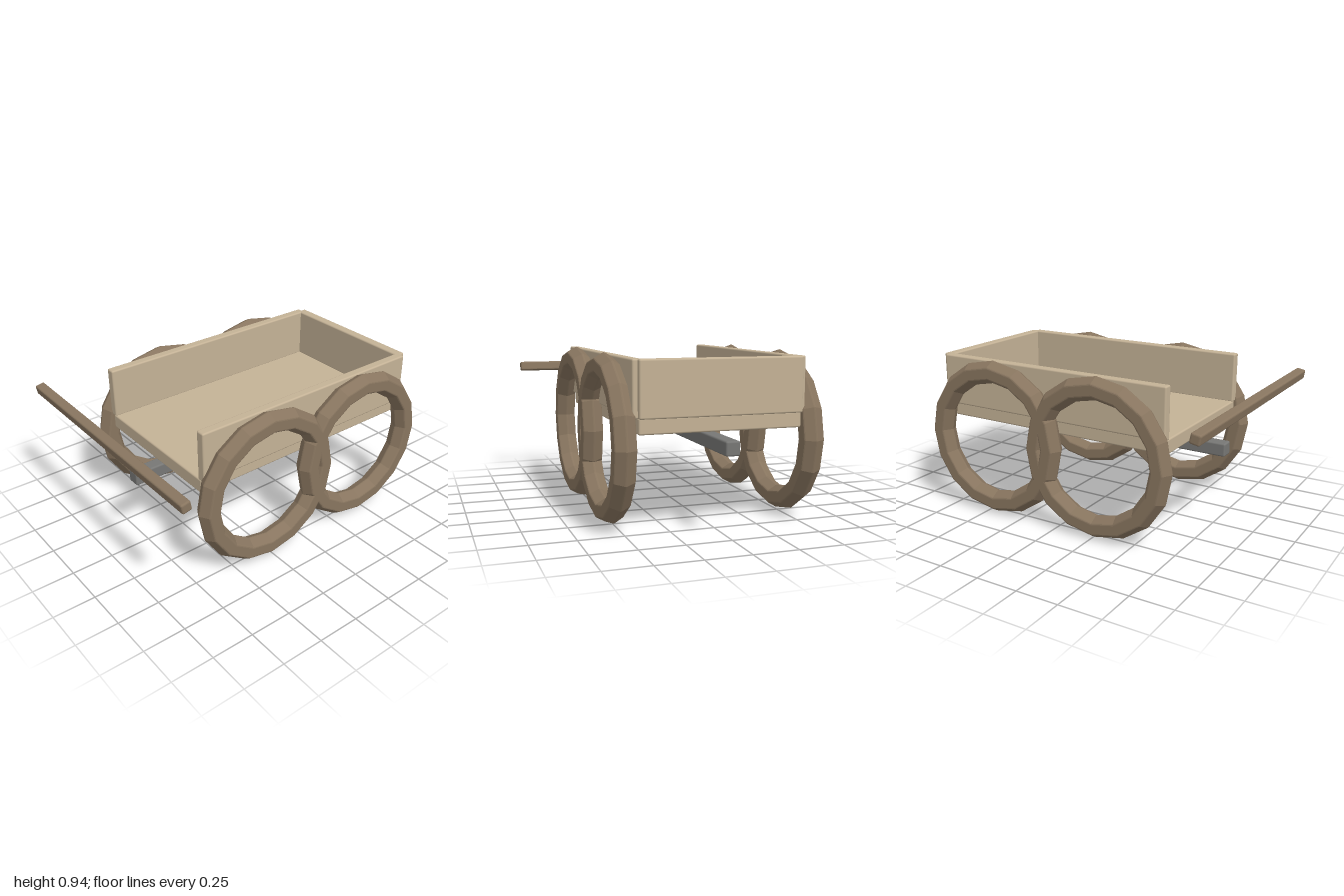
import * as THREE from 'three';
import { RoundedBoxGeometry } from 'three/addons/geometries/RoundedBoxGeometry.js';

const lightWood = new THREE.MeshStandardMaterial({ color: 0xc4b296 });
const darkWood = new THREE.MeshStandardMaterial({ color: 0x88755f, flatShading: true });
const metal = new THREE.MeshStandardMaterial({ color: 0x777775 });

// Box with softened edges, given by its extents on each axis
function beam(name, material, [x0, x1], [y0, y1], [z0, z1]) {
  const geometry = new RoundedBoxGeometry(x1 - x0, y1 - y0, z1 - z0, 2, 0.01);
  const mesh = new THREE.Mesh(geometry, material);
  mesh.name = name;
  mesh.position.set((x0 + x1) / 2, (y0 + y1) / 2, (z0 + z1) / 2);
  return mesh;
}

// Sixteen-sided hoop whose section is a hexagon with softened corners
function hoopGeometry(radius, corner, round) {
  const section = [];
  for (let i = 0; i < 6; i++) {
    const angle = (i * Math.PI) / 3;
    for (const turn of [-Math.PI / 6, 0, Math.PI / 6]) {
      section.push(new THREE.Vector2(
        radius + corner * Math.cos(angle) + round * Math.cos(angle + turn),
        corner * Math.sin(angle) + round * Math.sin(angle + turn)
      ));
    }
  }
  section.push(section[0].clone());
  return new THREE.LatheGeometry(section, 16).rotateX(Math.PI / 2);
}

export function createModel() {
  const cart = new THREE.Group();
  cart.name = 'cart';

  // Open tray: floor, end wall and two side walls
  cart.add(beam('floor', lightWood, [-0.662, 0.858], [0.543, 0.63], [-0.453, 0.453]));
  cart.add(beam('endWall', lightWood, [0.817, 0.876], [0.624, 0.926], [-0.454, 0.454]));
  cart.add(beam('leftSideWall', lightWood, [-0.662, 0.845], [0.624, 0.926], [0.426, 0.482]));
  cart.add(beam('rightSideWall', lightWood, [-0.662, 0.845], [0.624, 0.926], [-0.482, -0.426]));

  // Long bar beneath the tray
  cart.add(beam('underBar', metal, [-0.817, 0.999], [0.435, 0.513], [-0.039, 0.039]));

  // Push handle, slightly rolled about its length
  const handle = beam('handle', darkWood, [-0.996, -0.938], [0.749, 0.807], [-0.776, 0.776]);
  handle.rotation.z = 0.19;
  cart.add(handle);

  // Two overlapping hoop wheels on each side
  const hoop = hoopGeometry(0.403, 0.055, 0.012);
  for (const z of [-0.525, 0.525]) {
    for (const x of [-0.264, 0.442]) {
      const wheel = new THREE.Mesh(hoop, darkWood);
      wheel.name = (z > 0 ? 'front' : 'back') + (x > 0 ? 'Left' : 'Right') + 'Wheel';
      wheel.position.set(x, 0.471, z);
      cart.add(wheel);
    }
  }
  return cart;
}
